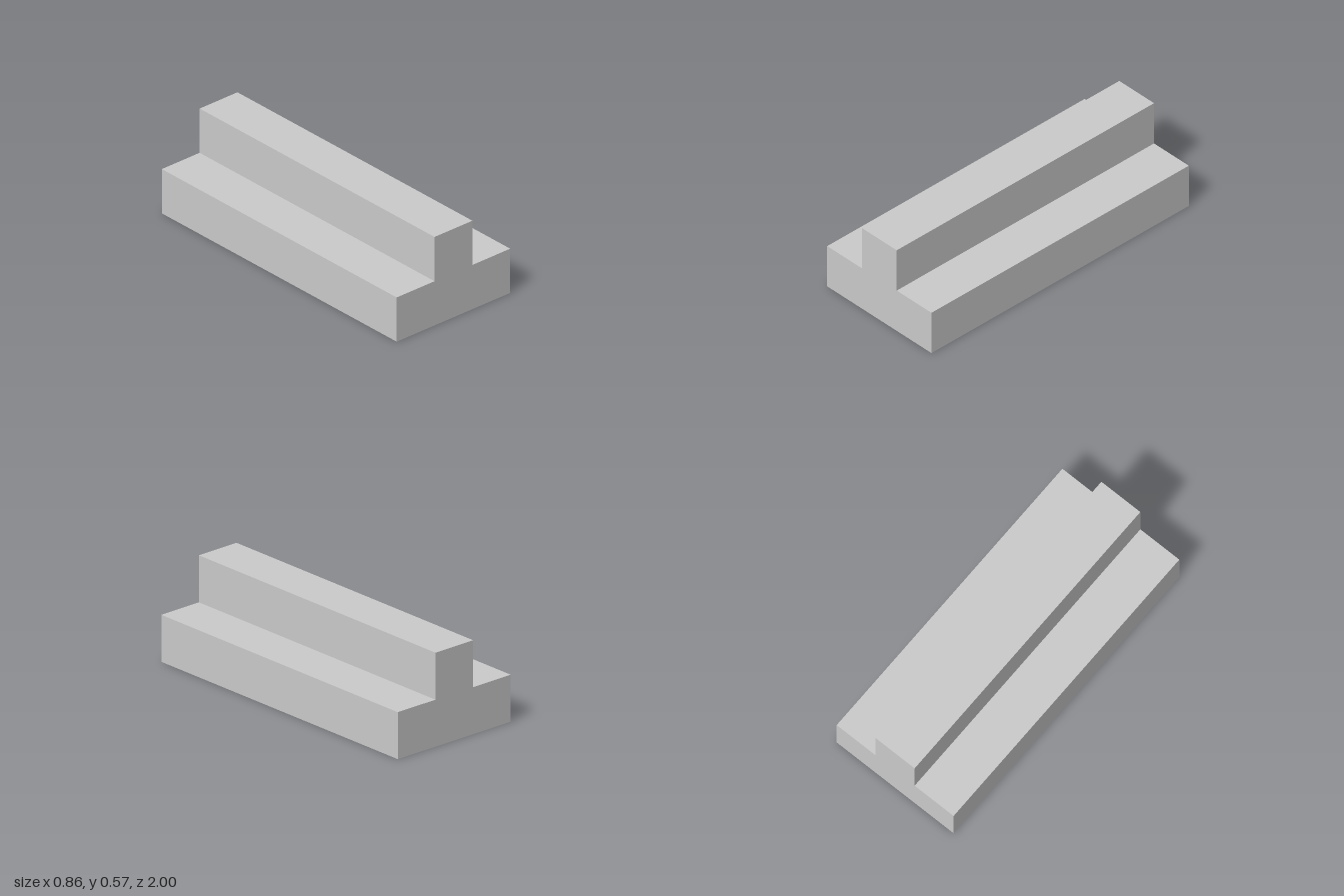
import * as THREE from 'three';

const SEGMENTS = 7;
const U = 2 / SEGMENTS; // side of one unit block

export function createModel() {
  const group = new THREE.Group();
  group.name = 'steppedBeam';
  const material = new THREE.MeshStandardMaterial({ color: 0xcccccc, flatShading: true });

  // Inverted T section: three blocks wide at the base, one block on top
  const section = new THREE.Shape([
    [-1.5, 0], [1.5, 0], [1.5, 1], [0.5, 1],
    [0.5, 2], [-0.5, 2], [-0.5, 1], [-1.5, 1],
  ].map(([x, y]) => new THREE.Vector2(x * U, y * U)));
  const geometry = new THREE.ExtrudeGeometry(section, { depth: U, bevelEnabled: false });

  // Equal segments laid end to end along z
  for (let i = 0; i < SEGMENTS; i++) {
    const segment = new THREE.Mesh(geometry, material);
    segment.name = `beamSegment${i + 1}`;
    segment.position.z = -1 + i * U;
    group.add(segment);
  }
  return group;
}
